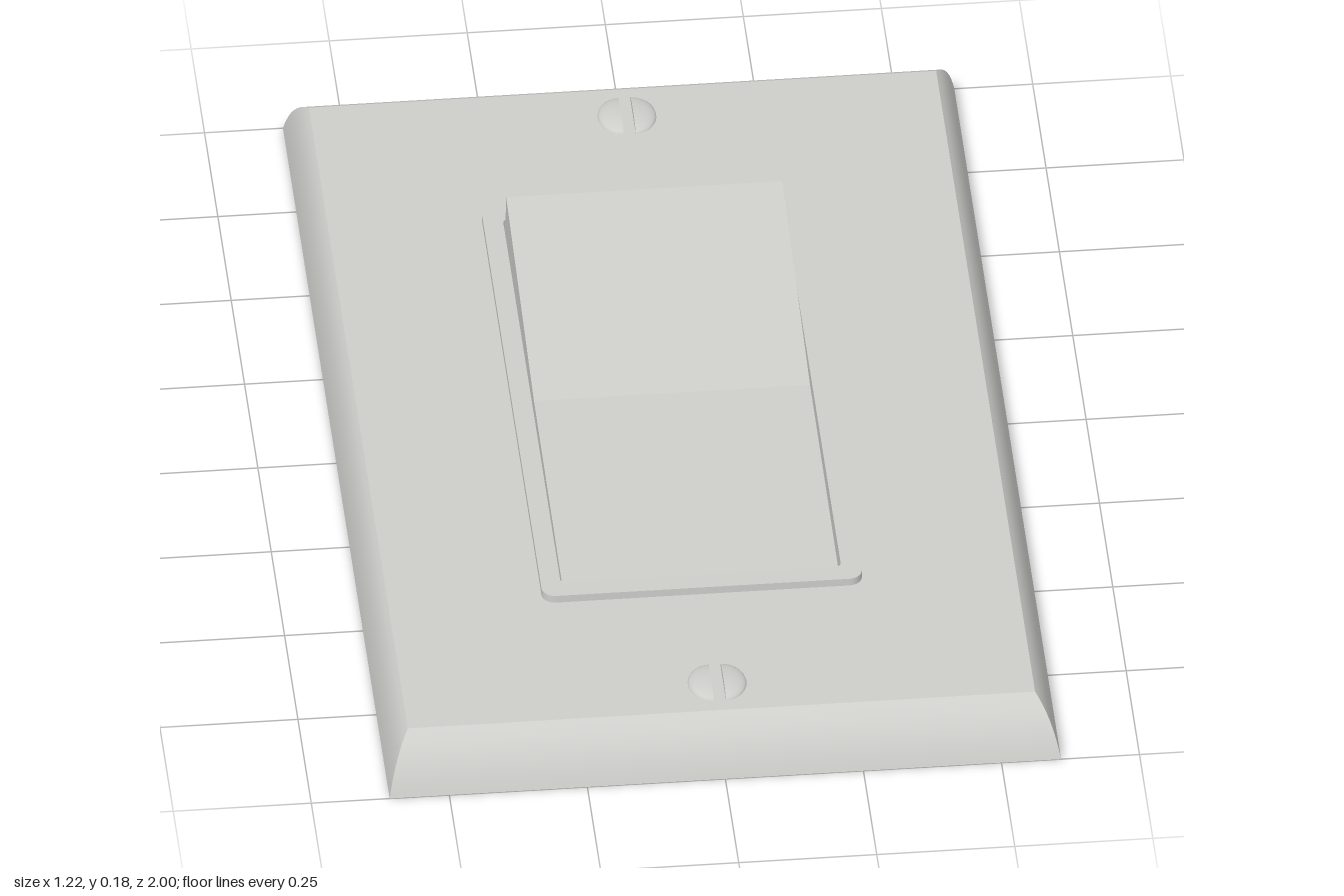
import * as THREE from 'three';
import { toCreasedNormals } from 'three/addons/utils/BufferGeometryUtils.js';

// Skin a list of rectangular loops [half width, half depth, y]
function rectLoops(loops) {
  const pos = [];
  const corners = [[1, 1], [1, -1], [-1, -1], [-1, 1]];
  const at = ([x, z, y], k) => [corners[k % 4][0] * x, y, corners[k % 4][1] * z];
  for (let i = 0; i < loops.length - 1; i++) {
    for (let k = 0; k < 4; k++) {
      const a = at(loops[i], k), b = at(loops[i], k + 1);
      const c = at(loops[i + 1], k + 1), d = at(loops[i + 1], k);
      pos.push(...a, ...d, ...c, ...a, ...c, ...b);
    }
  }
  const g = new THREE.BufferGeometry();
  g.setAttribute('position', new THREE.Float32BufferAttribute(pos, 3));
  return toCreasedNormals(g, 0.5);
}

// Rectangle outline with rounded corners
function roundRect(path, w, d, r) {
  path.moveTo(w - r, -d);
  path.absarc(w - r, -d + r, r, -Math.PI / 2, 0);
  path.absarc(w - r, d - r, r, 0, Math.PI / 2);
  path.absarc(-w + r, d - r, r, Math.PI / 2, Math.PI);
  path.absarc(-w + r, -d + r, r, Math.PI, Math.PI * 1.5);
  path.closePath();
  return path;
}

export function createModel() {
  const model = new THREE.Group();
  model.name = 'wallSwitch';
  const grey = new THREE.MeshStandardMaterial({ color: 0xcdcdca });
  grey.name = 'light grey plastic';

  const add = (name, geometry, parent = model) => {
    const mesh = new THREE.Mesh(geometry, grey);
    mesh.name = name;
    parent.add(mesh);
    return mesh;
  };

  // Cover plate: flat top, curved bevel, base rim and hollow underside
  const bevel = [];
  for (let i = 0; i <= 8; i++) {
    const t = i / 8;
    const out = 1.35 * t - 0.35 * t * t;
    bevel.push([0.568 + 0.04 * out, 0.926 + 0.074 * out, 0.1 * (1 - 0.5 * t - 0.5 * t * t)]);
  }
  add('coverPlate', rectLoops([
    [0.27, 0.56, 0.1], ...bevel,
    [0.55, 0.94, 0], [0.535, 0.915, 0.05], [0.27, 0.56, 0.05],
  ]));

  // Raised frame lining the opening
  const frameShape = roundRect(new THREE.Shape(), 0.29, 0.58, 0.025);
  frameShape.holes.push(roundRect(new THREE.Path(), 0.254, 0.542, 0.01));
  const frame = new THREE.ExtrudeGeometry(frameShape, { depth: 0.067, bevelEnabled: false, curveSegments: 6 });
  frame.rotateX(-Math.PI / 2).translate(0, 0.048, 0);
  add('switchFrame', frame);

  // Rocker paddle, bent across the middle with its back half raised
  const side = new THREE.Shape([
    [-0.537, 0.047], [0.533, 0.047], [0.534, 0.115], [0.52, 0.182], [0, 0.115], [-0.537, 0.101],
  ].map(([x, y]) => new THREE.Vector2(x, y)));
  const rocker = new THREE.ExtrudeGeometry(side, { depth: 0.5, bevelEnabled: false });
  rocker.translate(0, 0, -0.25).rotateY(Math.PI / 2);
  add('rocker', rocker);

  // Slotted dome-head screws with shanks below the plate
  const R = 0.053, H = 0.013, slot = 0.011;
  const dome = [];
  for (let i = 0; i <= 8; i++) {
    const a = (i / 8) * Math.PI / 2;
    dome.push(new THREE.Vector2(R * Math.cos(a), H * Math.sin(a)));
  }
  const half = new THREE.LatheGeometry(dome, 20, 0, Math.PI);
  half.scale((R - slot) / R, 1, 1).translate(slot, 0, 0);
  const wallShape = new THREE.Shape([
    ...dome, ...dome.slice(0, -1).reverse().map((p) => new THREE.Vector2(-p.x, p.y)),
  ]);
  const slotWall = new THREE.ShapeGeometry(wallShape);
  slotWall.rotateY(-Math.PI / 2).translate(slot, 0, 0);

  for (const [name, z] of [['frontScrew', 0.845], ['backScrew', -0.845]]) {
    const screw = new THREE.Group();
    screw.name = name;
    screw.position.set(0, 0.1, z);
    for (const turn of [0, Math.PI]) {
      add('screwHeadHalf', half, screw).rotation.y = turn;
      add('slotWall', slotWall, screw).rotation.y = turn;
    }
    add('screwShank', new THREE.CylinderGeometry(0.027, 0.027, 0.09, 20), screw).position.y = -0.05;
    model.add(screw);
  }
  return model;
}
